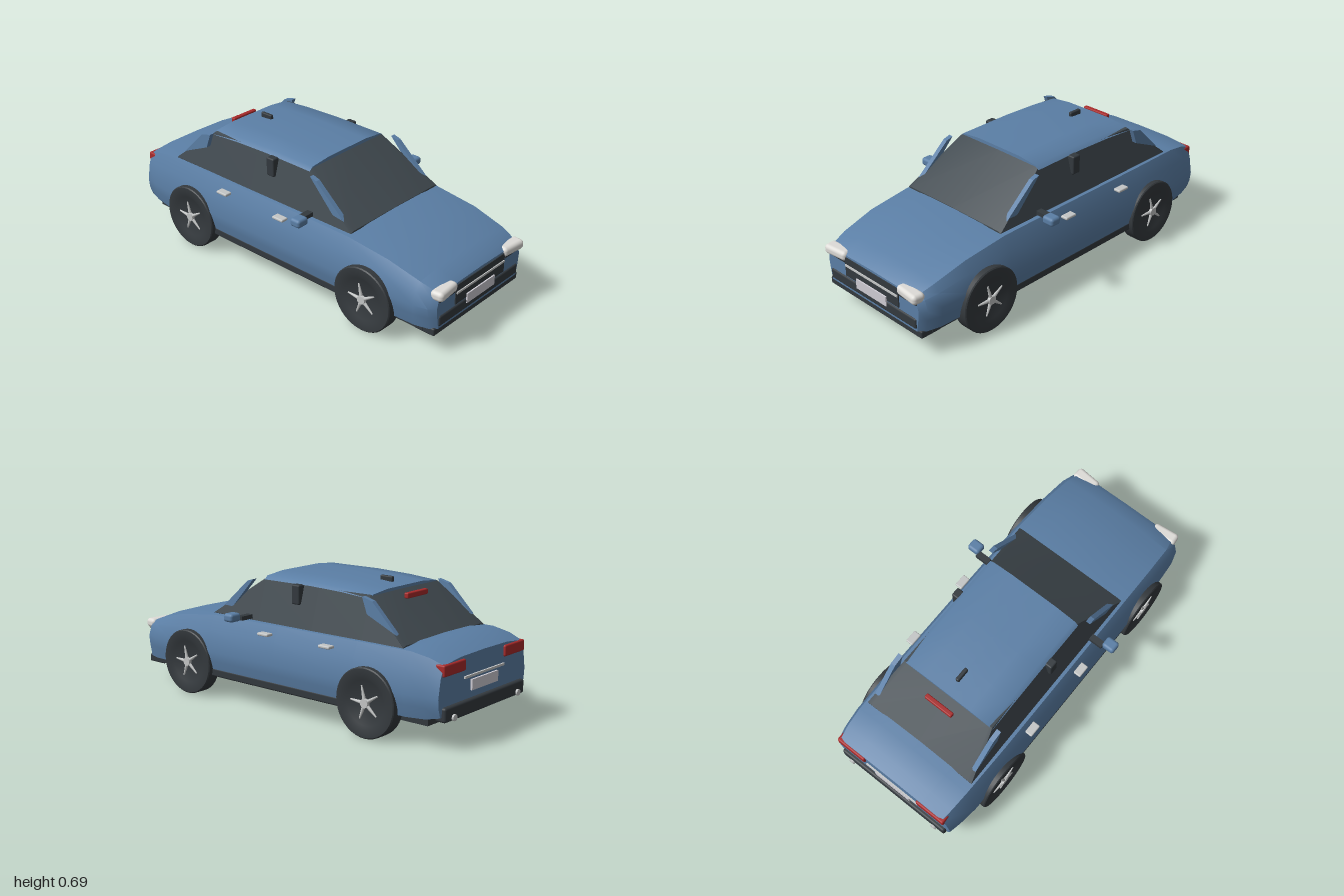
import * as THREE from 'three';
import { toCreasedNormals } from 'three/addons/utils/BufferGeometryUtils.js';
import { RoundedBoxGeometry } from 'three/addons/geometries/RoundedBoxGeometry.js';

const paint = (name, color) => {
  const m = new THREE.MeshStandardMaterial({ color });
  m.name = name;
  return m;
};

// Skin a row of mirrored half sections ([z, y], top to bottom) placed along x
function loft(stations, section, crease = 0.6) {
  const rings = stations.map((s) => {
    const half = section(s);
    const other = half.slice(1, -1).reverse().map(([z, y]) => [-z, y]);
    return [...half, ...other].map(([z, y]) => [s[0], y, z]);
  });
  const pos = [];
  const n = rings[0].length;
  const tri = (...pts) => pts.forEach((p) => pos.push(...p));
  for (let i = 0; i < rings.length - 1; i++) {
    for (let j = 0; j < n; j++) {
      const k = (j + 1) % n;
      const [a, b, c, d] = [rings[i][j], rings[i][k], rings[i + 1][k], rings[i + 1][j]];
      tri(a, b, c);
      tri(a, c, d);
    }
  }
  // end caps
  [rings[0], rings[rings.length - 1]].forEach((r, end) => {
    const mid = [r[0][0], (r[0][1] + r[n / 2][1]) / 2, 0];
    for (let j = 0; j < n; j++) {
      const k = (j + 1) % n;
      if (end) tri(mid, r[j], r[k]);
      else tri(mid, r[k], r[j]);
    }
  });
  const g = new THREE.BufferGeometry();
  g.setAttribute('position', new THREE.Float32BufferAttribute(pos, 3));
  return toCreasedNormals(g, crease);
}

export function createModel() {
  const car = new THREE.Group();
  const blue = paint('body blue', 0x5b7fa6);
  const glass = paint('dark glass', 0x414a50);
  const black = paint('black trim', 0x33393e);
  const rubber = paint('wheel black', 0x34393d);
  const silver = paint('silver', 0xc4c6c6);
  const lamp = paint('lamp white', 0xdedcd8);
  const white = paint('plate white', 0xcfccd4);
  const red = paint('lamp red', 0xa82a2a);

  const add = (name, geo, mat, x = 0, y = 0, z = 0, parent = car) => {
    const m = new THREE.Mesh(geo, mat);
    m.name = name;
    m.position.set(x, y, z);
    parent.add(m);
    return m;
  };
  // box from its limits on each axis
  const box = (name, mat, [x0, x1], [y0, y1], [z0, z1], round = 0) => {
    const size = [x1 - x0, y1 - y0, Math.abs(z1 - z0)];
    const geo = round ? new RoundedBoxGeometry(...size, 3, round) : new THREE.BoxGeometry(...size);
    return add(name, geo, mat, (x0 + x1) / 2, (y0 + y1) / 2, (z0 + z1) / 2);
  };

  // Lower body: x, top height, half width, shoulder half width, bottom height
  const hull = [
    [-0.97, 0.415, 0.365, 0.325, 0.16], [-0.9, 0.44, 0.38, 0.335, 0.145],
    [-0.8, 0.457, 0.393, 0.342, 0.14], [-0.5, 0.457, 0.4, 0.347, 0.14],
    [0, 0.455, 0.4, 0.347, 0.14], [0.45, 0.45, 0.4, 0.345, 0.14],
    [0.7, 0.42, 0.393, 0.34, 0.14], [0.88, 0.373, 0.38, 0.33, 0.135],
    [0.95, 0.347, 0.36, 0.315, 0.135], [0.98, 0.325, 0.33, 0.3, 0.135],
  ];
  add('body', loft(hull, ([, t, w, s, b]) => [
    [0, t], [s * 0.6, t - 0.003], [s, t - 0.018], [s + (w - s) * 0.6, t - (t - 0.25) * 0.45],
    [w, 0.25], [w * 0.985, 0.2], [w * 0.95, b], [0, b],
  ]), blue);

  // Cabin glass and roof
  const cabin = [[-0.75, 0.452], [-0.51, 0.648], [-0.2, 0.658], [0.155, 0.656], [0.465, 0.45]];
  add('windows', loft(cabin, ([, t]) => {
    const w = 0.335 - 0.06 * (t - 0.44) / 0.2;
    return [[0, t], [w * 0.93, t - 0.002], [w, t - 0.008], [0.33, 0.44], [0, 0.44]];
  }, 0.4), glass);
  const roof = [[-0.515, 0.658], [-0.35, 0.67], [-0.15, 0.676], [0.155, 0.673]];
  add('roof', loft(roof, ([, t]) => [
    [0, t], [0.14, t], [0.255, t - 0.012], [0.277, t - 0.03], [0, t - 0.03],
  ]), blue);

  // Pillars, drawn from the side
  const pillar = (name, pts, s) => {
    const shape = new THREE.Shape(pts.map((p) => new THREE.Vector2(...p)));
    const geo = new THREE.ExtrudeGeometry(shape, { depth: 0.025, bevelEnabled: false });
    add(name, geo, blue, 0, 0, s > 0 ? 0.293 : -0.318);
  };
  for (const s of [1, -1]) {
    const side = s > 0 ? 'left' : 'right';
    pillar(side + 'FrontPillar', [[0.195, 0.645], [0.34, 0.49], [0.41, 0.48], [0.235, 0.633]], s);
    pillar(side + 'RearPillar', [[-0.5, 0.645], [-0.56, 0.63], [-0.7, 0.49], [-0.53, 0.565]], s);
    box(side + 'CentrePillar', black, [-0.105, -0.055], [0.55, 0.648], [s * 0.27, s * 0.312], 0.008);

    // Door handles and mirrors
    for (const x of [-0.34, 0.055])
      box(side + 'DoorHandle', silver, [x - 0.035, x + 0.035], [0.388, 0.403], [s * 0.365, s * 0.407], 0.006);
    box(side + 'Mirror', blue, [0.2, 0.262], [0.443, 0.486], [s * 0.4, s * 0.47], 0.015);
    box(side + 'MirrorArm', black, [0.19, 0.225], [0.447, 0.468], [s * 0.33, s * 0.405]);

    // Lamps and exhausts
    box(side + 'Headlight', lamp, [0.93, 1], [0.286, 0.336], [s * 0.19, s * 0.335], 0.02)
      .rotation.y = s * 0.1;
    box(side + 'HeadlightTrim', black, [0.93, 0.985], [0.28, 0.292], [s * 0.2, s * 0.32]);
    box(side + 'TailLight', red, [-0.982, -0.93], [0.345, 0.4], [s * 0.165, s * 0.338], 0.008);
    const pipe = add(side + 'Exhaust', new THREE.CylinderGeometry(0.016, 0.016, 0.07, 16), silver, -0.965, 0.152, s * 0.27);
    pipe.rotation.z = Math.PI / 2;
  }

  // Front end
  box('grille', black, [0.95, 0.985], [0.21, 0.312], [-0.195, 0.195]);
  box('grilleBar', silver, [0.98, 0.99], [0.266, 0.277], [-0.19, 0.19]);
  box('frontPlate', white, [0.984, 0.992], [0.18, 0.232], [-0.11, 0.11]);
  box('frontBumper', black, [0.93, 0.987], [0.147, 0.202], [-0.313, 0.313], 0.01);
  box('frontLip', black, [0.86, 0.975], [0.1, 0.14], [-0.338, 0.338], 0.008);

  // Rear end
  box('rearPlate', white, [-0.98, -0.965], [0.24, 0.292], [-0.11, 0.11]);
  box('bootTrim', silver, [-0.979, -0.965], [0.305, 0.316], [-0.165, 0.165]);
  box('rearBumper', black, [-0.99, -0.93], [0.135, 0.205], [-0.335, 0.335], 0.012);

  // Underside and sills
  box('underbody', black, [-0.9, 0.91], [0.108, 0.15], [-0.34, 0.34]);
  box('sills', black, [-0.44, 0.45], [0.115, 0.16], [-0.385, 0.385], 0.01);

  // Roof details
  box('antennaFin', black, [-0.44, -0.365], [0.66, 0.69], [-0.01, 0.01], 0.006);
  box('highBrakeLight', red, [-0.59, -0.565], [0.61, 0.637], [-0.082, 0.082], 0.006);

  // Wheels: dished disc with five pointed spokes
  const profile = [[0, 0], [0.145, 0], [0.145, 0.03], [0.17, 0.03], [0.17, 0.095], [0.165, 0.1],
    [0.125, 0.1], [0.11, 0.092], [0, 0.088]].map((p) => new THREE.Vector2(...p));
  const disc = toCreasedNormals(new THREE.LatheGeometry(profile, 40).rotateX(Math.PI / 2), 0.5);
  const spoke = new THREE.CylinderGeometry(0.004, 0.011, 0.08, 8).translate(0, 0.045, 0);
  const hub = new THREE.CylinderGeometry(0.022, 0.024, 0.02, 20).rotateX(Math.PI / 2);
  for (const x of [-0.59, 0.6]) {
    for (const s of [1, -1]) {
      const wheel = new THREE.Group();
      wheel.name = (s > 0 ? 'left' : 'right') + (x > 0 ? 'FrontWheel' : 'RearWheel');
      wheel.position.set(x, 0.17, s * 0.31);
      wheel.rotation.y = s > 0 ? 0 : Math.PI;
      add('tyre', disc, rubber, 0, 0, 0, wheel);
      add('hub', hub, silver, 0, 0, 0.093, wheel);
      for (let i = 0; i < 5; i++)
        add('spoke', spoke, silver, 0, 0, 0.092, wheel).rotation.z = 0.25 + (i * Math.PI * 2) / 5;
      car.add(wheel);
    }
  }
  return car;
}
